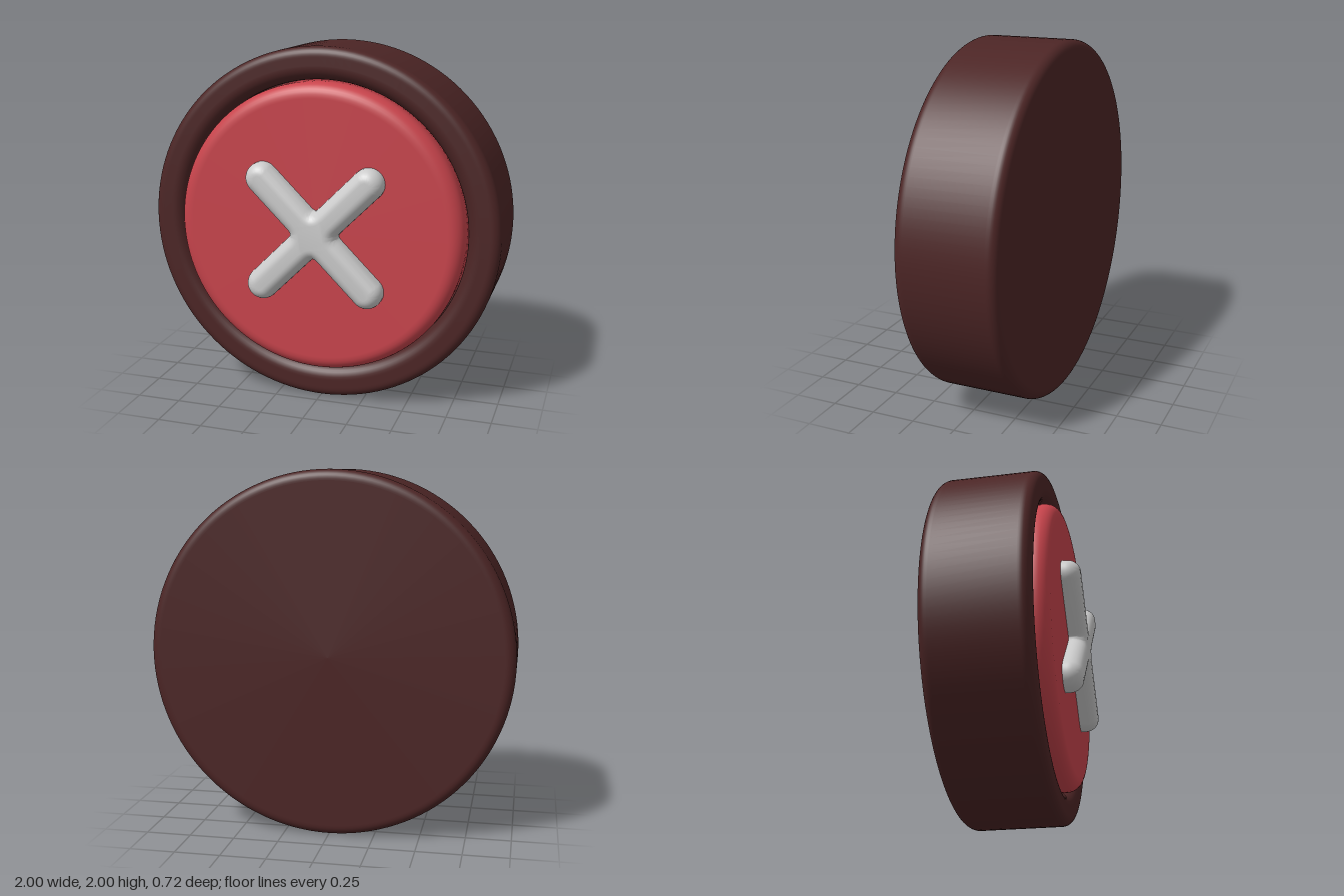
import * as THREE from 'three';
import { toCreasedNormals } from 'three/addons/utils/BufferGeometryUtils.js';

// Profile of [radius, z, roundness] corners, rounded by arcs and turned about z.
function turned(corners) {
  const pts = [];
  corners.forEach(([r, z, round], i) => {
    const p = new THREE.Vector2(r, z);
    if (!round) return pts.push(p);
    const toward = (j) => new THREE.Vector2(corners[j][0], corners[j][1]).sub(p).normalize();
    const a = toward(i - 1), b = toward(i + 1);
    const at = (d, s) => p.clone().addScaledVector(d, s);
    pts.push(at(a, round + 0.008)); // keeps the flat areas flat
    for (let k = 0; k <= 8; k++) {
      const t = (k / 8) * Math.PI / 2;
      pts.push(at(a, round * (1 - Math.sin(t))).addScaledVector(b, round * (1 - Math.cos(t))));
    }
    pts.push(at(b, round + 0.008));
  });
  return new THREE.LatheGeometry(pts, 128).rotateX(Math.PI / 2);
}

// Rounded X: four arms with filleted inner corners, swollen by the bevel.
function crossGeometry() {
  const w = 0.023, reach = 0.425, fillet = 0.1, bevel = 0.065;
  const shape = new THREE.Shape();
  for (let i = 0; i < 4; i++) {
    const angle = Math.PI / 4 + i * Math.PI / 2;
    const c = Math.cos(angle), s = Math.sin(angle);
    const at = (u, v) => [u * c - v * s, u * s + v * c];
    if (i === 0) shape.moveTo(...at(w + fillet, -w));
    else shape.lineTo(...at(w + fillet, -w));
    shape.lineTo(...at(reach, -w));
    shape.absarc(...at(reach, 0), w, angle - Math.PI / 2, angle + Math.PI / 2, false);
    shape.lineTo(...at(w + fillet, w));
    shape.quadraticCurveTo(...at(w, w), ...at(w, w + fillet));
  }
  const geometry = new THREE.ExtrudeGeometry(shape, {
    depth: 0.08, bevelThickness: 0.075, bevelSize: bevel, bevelSegments: 8, curveSegments: 12,
  });
  return toCreasedNormals(geometry, 0.8);
}

export function createModel() {
  const model = new THREE.Group();
  model.name = 'roundButton';
  const add = (name, geometry, color, y, z = 0) => {
    const mesh = new THREE.Mesh(geometry, new THREE.MeshStandardMaterial({ color }));
    mesh.name = name;
    mesh.position.set(0, y, z);
    model.add(mesh);
  };

  // Dark casing with a recess in the front
  add('casing', turned([
    [0, -0.36], [1, -0.36, 0.05], [1, 0.2, 0.05], [0.82, 0.2, 0.07], [0.82, 0.06], [0, 0.06],
  ]), 0x4c2525, 1);

  // Red cap standing slightly proud of the rim
  add('cap', turned([
    [0, 0.04], [0.815, 0.04], [0.815, 0.26, 0.075], [0, 0.26],
  ]), 0xc8444c, 1);

  // Raised cross on the cap
  add('cross', crossGeometry(), 0xcccccc, 0.99, 0.205);

  return model;
}
